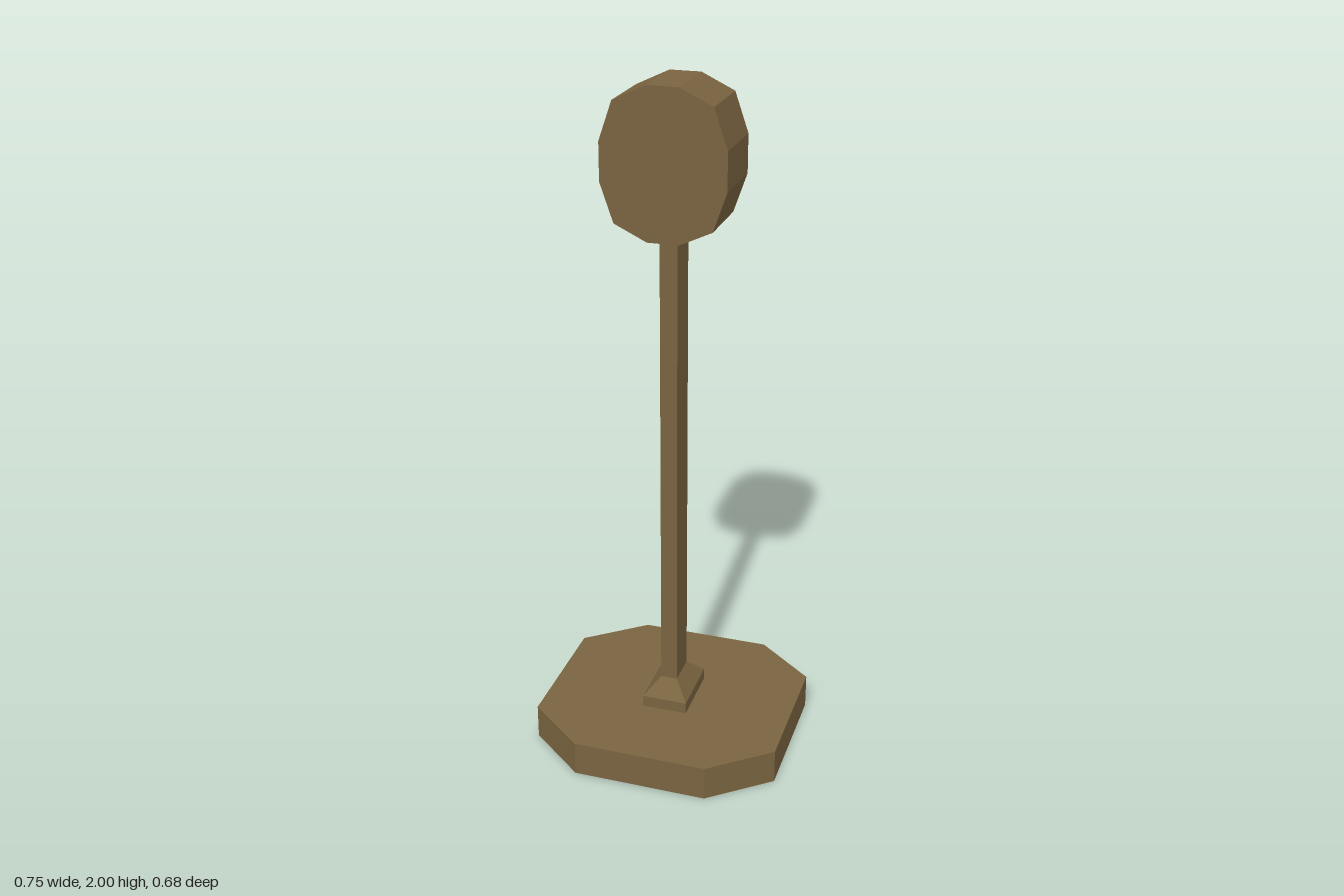
import * as THREE from 'three';

// Symmetric outline from the points of its +x, +y quarter (listed from the side to the top)
function mirroredShape(quarter) {
  const half = [...quarter, ...quarter.slice().reverse().map(([x, y]) => [-x, y])];
  const all = [...half, ...half.map(([x, y]) => [-x, -y])];
  return new THREE.Shape(all.map(([x, y]) => new THREE.Vector2(x, y)));
}

// Outline extruded to a depth, centred on z = 0
function slab(quarter, depth) {
  const geometry = new THREE.ExtrudeGeometry(mirroredShape(quarter), { depth, bevelEnabled: false });
  return geometry.translate(0, 0, -depth / 2);
}

export function createModel() {
  const group = new THREE.Group();
  const bronze = new THREE.MeshStandardMaterial({ color: 0x7a6440, flatShading: true });
  bronze.name = 'bronze brown';

  const add = (name, geometry, y) => {
    const mesh = new THREE.Mesh(geometry, bronze);
    mesh.name = name;
    mesh.position.y = y;
    group.add(mesh);
  };

  // Eight-sided base plate
  add('base', slab([[0.373, 0.202], [0.199, 0.342]], 0.105).rotateX(-Math.PI / 2), 0.0525);

  // Square collar and its sloped top, narrowing to the post
  add('collar', new THREE.BoxGeometry(0.136, 0.035, 0.196), 0.1225);
  const taper = new THREE.BoxGeometry(0.136, 0.05, 0.196);
  const p = taper.attributes.position;
  for (let i = 0; i < p.count; i++) {
    if (p.getY(i) > 0) p.setXYZ(i, Math.sign(p.getX(i)) * 0.025, p.getY(i), Math.sign(p.getZ(i)) * 0.05);
  }
  taper.computeVertexNormals();
  add('collarTaper', taper, 0.165);

  // Flat post
  add('post', new THREE.BoxGeometry(0.05, 1.4, 0.1), 0.89);

  // Twelve-sided oval head
  add('head', slab([[0.175, 0.054], [0.137, 0.164], [0.044, 0.208]], 0.2), 1.792);

  return group;
}
